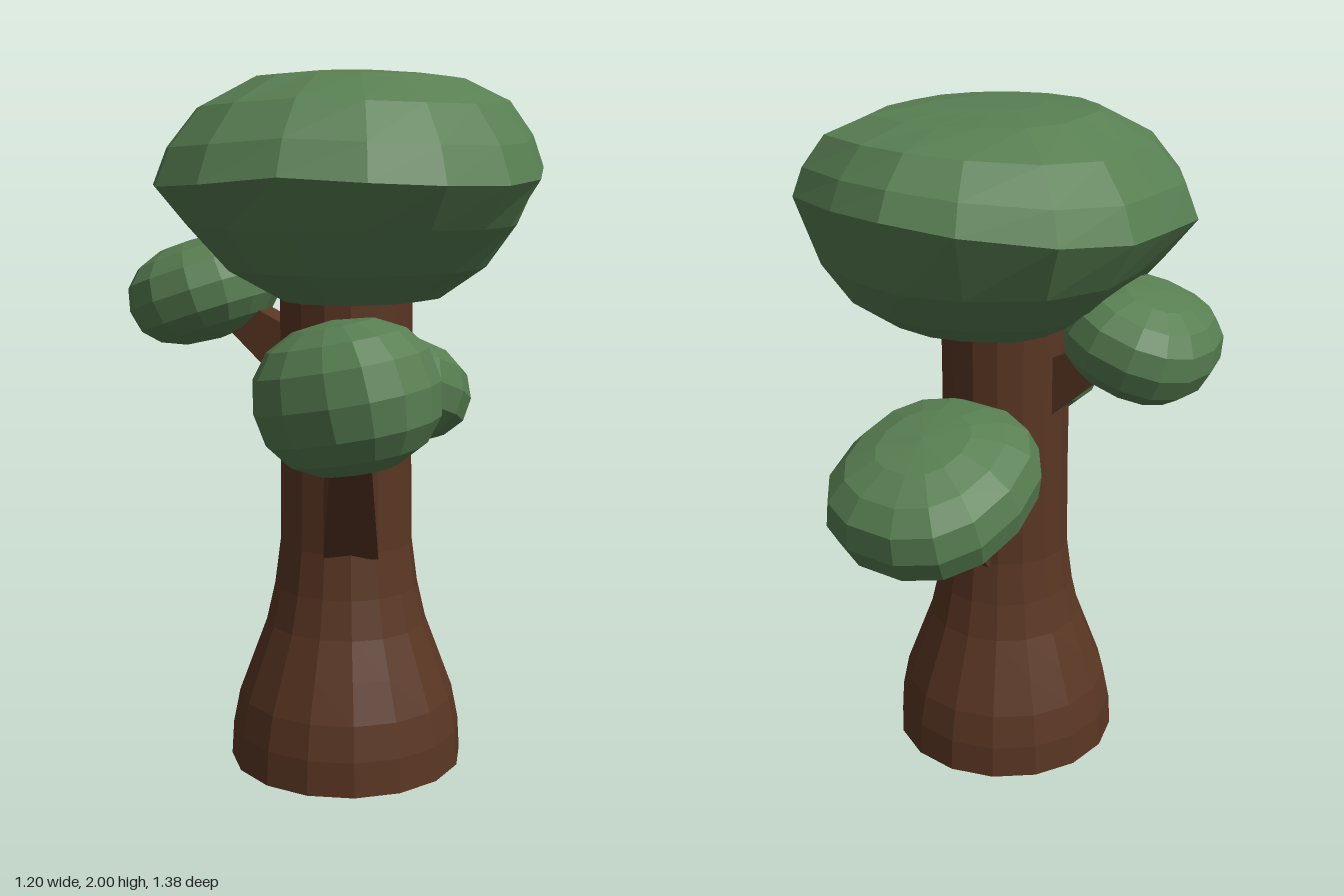
import * as THREE from 'three';

const bark = new THREE.MeshStandardMaterial({ color: 0x5a3623, flatShading: true });
const leaf = new THREE.MeshStandardMaterial({ color: 0x587f52, flatShading: true });

// Closed skin over rings of [x, y, z] points, clockwise as seen from the last ring
function loft(rings) {
  const n = rings[0].length, index = [], last = (rings.length - 1) * n;
  for (let r = 0; r < rings.length - 1; r++) {
    for (let i = 0; i < n; i++) {
      const a = r * n + i, b = r * n + (i + 1) % n;
      index.push(a, a + n, b, b, a + n, b + n);
    }
  }
  for (let i = 1; i < n - 1; i++) {
    index.push(0, i, i + 1, last, last + i + 1, last + i);
  }
  const g = new THREE.BufferGeometry();
  g.setAttribute('position', new THREE.Float32BufferAttribute(rings.flat(2), 3));
  g.setIndex(index);
  g.computeVertexNormals();
  return g;
}

function add(group, name, geometry, material) {
  const mesh = new THREE.Mesh(geometry, material);
  mesh.name = name;
  group.add(mesh);
  return mesh;
}

// Tapered four-sided limb: each end is [x, y, z, width, height], pointing along +z before the turn
function branch(ends, turn) {
  const corners = [[-0.5, 0.5], [0.5, 0.5], [0.5, -0.5], [-0.5, -0.5]];
  const rings = ends.map(([x, y, z, w, h]) => corners.map(([u, v]) => [x + u * w, y + v * h, z]));
  return loft(rings).rotateY(turn);
}

// Faceted, slightly boxy leaf clump
function clump(radii) {
  const g = new THREE.SphereGeometry(1, 14, 8);
  const p = g.attributes.position;
  const soften = (v) => Math.sign(v) * Math.abs(v) ** 0.86;
  for (let i = 0; i < p.count; i++) {
    p.setXYZ(i, soften(p.getX(i)) * radii[0], soften(p.getY(i)) * radii[1], soften(p.getZ(i)) * radii[2]);
  }
  g.computeVertexNormals();
  return g;
}

export function createModel() {
  const tree = new THREE.Group();
  tree.name = 'tree';

  // Flared trunk
  const profile = [[0, 0], [0.343, 0], [0.337, 0.1], [0.317, 0.2], [0.276, 0.31], [0.235, 0.42],
    [0.21, 0.53], [0.193, 0.66], [0.19, 0.9], [0.19, 1.4], [0, 1.4]];
  const trunk = add(tree, 'trunk',
    new THREE.LatheGeometry(profile.map(([x, y]) => new THREE.Vector2(x, y)), 16), bark);
  trunk.position.set(0.047, 0.005, 0.083);

  // Branches
  add(tree, 'frontBranch', branch([[0.03, 0.755, 0.274, 0.155, 0.21], [0.027, 1.015, 0.538, 0.11, 0.09]], 0.33), bark);
  add(tree, 'backBranch', branch([[-0.05, 0.735, 0.08, 0.1, 0.21], [-0.02, 0.99, 0.4, 0.1, 0.08]], Math.PI), bark);
  add(tree, 'rightBranch', branch([[0.09, 1.19, 0.1, 0.11, 0.19], [0.09, 1.36, 0.34, 0.09, 0.09]], -Math.PI / 2), bark);

  // Crown: one outline, scaled up its height, tilted a little and fuller at the back left
  const outline = [[0.08, -0.51], [0.27, -0.45], [0.48, -0.33], [0.565, -0.13], [0.6, 0.08], [0.565, 0.29],
    [0.44, 0.46], [0.27, 0.58], [0.05, 0.635], [-0.18, 0.6], [-0.36, 0.47], [-0.46, 0.28],
    [-0.46, 0.06], [-0.455, -0.14], [-0.34, -0.34], [-0.12, -0.47]];
  // [height, scale, z shift, lift toward the back]
  const levels = [[1.37, 0.36, 0.02, 0], [1.46, 0.65, 0.005, 0], [1.58, 0.84, 0, 0], [1.755, 1, 0, 0.035],
    [1.84, 0.93, 0, 0.025], [1.93, 0.78, 0, 0.015], [1.985, 0.5, 0.01, 0], [2, 0.22, 0.03, 0]];
  const cx = 0.07, cz = 0.06;
  const rings = levels.map(([y, scale, dz, lift]) => outline.map(([x, z]) => {
    const u = x - cx, v = z - cz;
    const corner = Math.max(0, (0.72 * u - 0.69 * v) / Math.hypot(u, v)) ** 6;
    const s = scale + (1 - scale) * 0.25 * corner;
    return [cx + u * s, y - lift * v / 0.57 - lift * 1.4 * Math.abs(u) / 0.53 + lift * corner, cz + dz + v * s];
  }));
  add(tree, 'crown', loft(rings), leaf);

  // Side clumps: name, centre, radii, rotation
  const clumps = [
    ['frontClump', [0.18, 1.152, 0.475], [0.252, 0.205, 0.21], [0.05, -0.2, 0.2]],
    ['rightClump', [-0.385, 1.387, 0.1], [0.217, 0.15, 0.24], [0, 0, 0.32]],
    ['backClump', [0.003, 1.04, -0.395], [0.28, 0.172, 0.308], [-0.32, -0.08, 0]],
  ];
  for (const [name, centre, radii, turn] of clumps) {
    const mesh = add(tree, name, clump(radii), leaf);
    mesh.position.set(...centre);
    mesh.rotation.set(...turn);
  }
  return tree;
}
